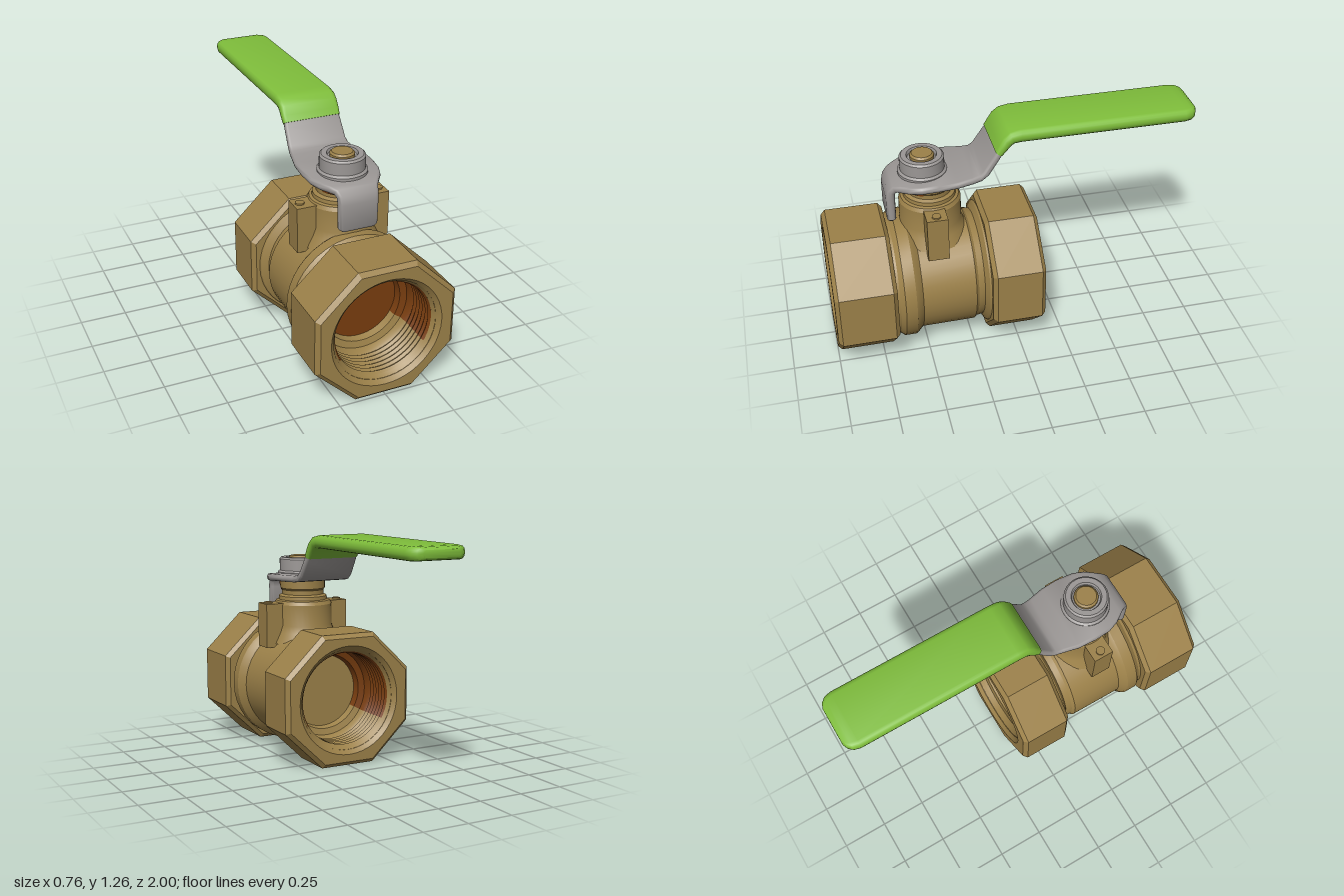
import * as THREE from 'three';
import { toCreasedNormals } from 'three/addons/utils/BufferGeometryUtils.js';

const material = (name, color, side = THREE.FrontSide) => {
  const m = new THREE.MeshStandardMaterial({ color, side });
  m.name = name;
  return m;
};

export function createModel() {
  const brass = material('brass', 0x9c8149, THREE.DoubleSide);
  const brown = material('dark brown', 0x783d0f, THREE.DoubleSide);
  const steel = material('steel grey', 0x9b9795);
  const green = material('green', 0x7fbe3b);
  const model = new THREE.Group();
  model.name = 'ballValve';
  const axisY = 0.373;

  const add = (name, geometry, mat, x = 0, y = 0, z = 0) => {
    const mesh = new THREE.Mesh(geometry, mat);
    mesh.name = name;
    mesh.position.set(x, y, z);
    model.add(mesh);
    return mesh;
  };
  // Turned part from [radius, height] pairs
  const turned = (pairs, start = 0, length = Math.PI * 2) =>
    toCreasedNormals(new THREE.LatheGeometry(
      pairs.map(([r, h]) => new THREE.Vector2(r, h)), 40, start, length), 0.5);
  // The same, lying along z; angle 0 points down
  const turnedZ = (...args) => turned(...args).rotateX(Math.PI / 2);

  // Flat bar swept through [z, y, halfWidth, thickness] stations
  const sweptBar = (stations) => {
    const positions = [], index = [], perCorner = 4, n = perCorner * 4;
    stations.forEach(([z, y, hw, th], i) => {
      const a = stations[Math.max(i - 1, 0)];
      const b = stations[Math.min(i + 1, stations.length - 1)];
      const len = Math.hypot(b[0] - a[0], b[1] - a[1]);
      const tz = (b[0] - a[0]) / len, ty = (b[1] - a[1]) / len;
      const r = th * 0.42;
      for (let c = 0; c < 4; c++) {
        const sx = c === 0 || c === 3 ? 1 : -1, sn = c < 2 ? 1 : -1;
        for (let k = 0; k < perCorner; k++) {
          const ang = (c + k / (perCorner - 1)) * Math.PI / 2;
          const px = sx * (hw - r) + r * Math.cos(ang);
          const pn = sn * (th / 2 - r) + r * Math.sin(ang);
          positions.push(px, y - tz * pn, z + ty * pn);
        }
      }
    });
    const last = (stations.length - 1) * n;
    for (let i = 0; i < last; i += n) {
      for (let j = 0; j < n; j++) {
        const k = (j + 1) % n;
        index.push(i + j, i + n + j, i + n + k, i + j, i + n + k, i + k);
      }
    }
    for (let j = 1; j < n - 1; j++) index.push(0, j, j + 1, last, last + j + 1, last + j);
    const g = new THREE.BufferGeometry();
    g.setAttribute('position', new THREE.Float32BufferAttribute(positions, 3));
    g.setIndex(index);
    return toCreasedNormals(g, 0.8);
  };

  // Octagonal pipe ends with a round opening
  const octagonEnd = (z0, z1) => {
    const bevel = 0.022, shape = new THREE.Shape();
    for (let i = 0; i < 8; i++) {
      const a = (i + 0.5) * Math.PI / 4;
      const x = 0.411 * Math.cos(a), y = 0.396 * Math.sin(a);
      if (i) shape.lineTo(x, y); else shape.moveTo(x, y);
    }
    shape.closePath();
    shape.holes.push(new THREE.Path().absarc(0, 0, 0.28, 0, Math.PI * 2, true));
    const g = new THREE.ExtrudeGeometry(shape, {
      depth: z1 - z0 - 2 * bevel, bevelEnabled: true, bevelSegments: 1,
      bevelSize: bevel, bevelThickness: bevel, bevelOffset: -bevel, curveSegments: 24,
    });
    return toCreasedNormals(g.translate(0, 0, z0 + bevel), 0.4);
  };
  add('frontPipeEnd', octagonEnd(0.67, 1), brass, 0, axisY);
  add('backPipeEnd', octagonEnd(-0.13, 0.16), brass, 0, axisY);

  // Threaded bores: brown above, brass along the bottom
  const bore = (name, mouth, dir, discMaterial) => {
    const at = (depth) => mouth - dir * depth;
    const wall = [];
    for (let i = 0; i < 7; i++) {
      wall.push([0.266, at(0.045 + i * 0.03)], [0.256, at(0.06 + i * 0.03)]);
    }
    wall.push([0.25, at(0.27)], [0.215, at(0.28)], [0.205, at(0.32)]);
    add(name + 'Lip', turnedZ([[0.285, at(0.018)], [0.266, at(0.045)]]), brass, 0, axisY);
    add(name + 'LowerWall', turnedZ(wall, -1.05, 2.1), brass, 0, axisY);
    add(name + 'UpperWall', turnedZ(wall, 1.05, Math.PI * 2 - 2.1), brown, 0, axisY);
    const disc = new THREE.CircleGeometry(0.21, 40);
    if (dir < 0) disc.rotateY(Math.PI);
    add(name + 'Disc', disc, discMaterial, 0, axisY, at(0.318));
  };
  bore('frontBore', 1, 1, brown);
  bore('backBore', -0.13, -1, brass);

  // Round centre body with collar
  add('body', turnedZ([
    [0.29, 0.12], [0.345, 0.15], [0.335, 0.17], [0.3, 0.19], [0.305, 0.225], [0.318, 0.24],
    [0.32, 0.53], [0.345, 0.555], [0.355, 0.57], [0.355, 0.63], [0.335, 0.655], [0.33, 0.69],
  ]), brass, 0, axisY);

  // Bonnet, neck and stem
  add('bonnet', turned([
    [0.21, 0.63], [0.18, 0.69], [0.166, 0.73], [0.166, 0.85], [0.155, 0.87], [0.14, 0.875],
    [0.138, 0.895], [0.12, 0.905], [0.12, 0.93], [0.128, 0.94], [0.128, 0.99], [0, 0.99],
  ]), brass, 0, 0, 0.425);
  add('neckSeal', new THREE.CylinderGeometry(0.134, 0.12, 0.06, 24, 1, true, -1.25, 2.5),
    brown, 0, 0.955, 0.435);
  add('stem', turned([[0.064, 1], [0.064, 1.115], [0.054, 1.125], [0, 1.125]]), brass, 0, 0, 0.455);

  // Stop lugs either side of the bonnet
  for (const side of [1, -1]) {
    add(side > 0 ? 'leftLug' : 'rightLug', new THREE.BoxGeometry(0.13, 0.25, 0.112),
      brass, side * 0.192, 0.735, 0.427);
    add(side > 0 ? 'leftLugPin' : 'rightLugPin', new THREE.CylinderGeometry(0.024, 0.024, 0.012, 16),
      brass, side * 0.22, 0.862, 0.427);
  }

  // Handle nut
  add('handleNut', turned([
    [0.13, 1.015], [0.13, 1.03], [0.118, 1.04], [0.118, 1.105], [0.108, 1.115],
    [0.08, 1.115], [0.074, 1.1], [0.06, 1.1],
  ]), steel, 0, 0, 0.457);

  // Bent steel lever, from the front tab to inside the grip
  add('lever', sweptBar([
    [0.643, 0.782, 0.09, 0.035], [0.643, 0.795, 0.105, 0.048], [0.643, 0.93, 0.108, 0.048],
    [0.637, 0.965, 0.11, 0.044], [0.62, 0.985, 0.118, 0.042], [0.59, 0.993, 0.14, 0.04],
    [0.55, 0.997, 0.168, 0.04], [0.49, 1.001, 0.19, 0.04], [0.4, 1.007, 0.197, 0.038],
    [0.3, 1.01, 0.192, 0.036], [0.22, 1.013, 0.174, 0.036], [0.175, 1.02, 0.166, 0.036],
    [0.145, 1.042, 0.162, 0.036], [0.09, 1.125, 0.158, 0.036], [0.05, 1.185, 0.15, 0.034],
  ]), steel);

  // Green grip sleeve
  add('grip', sweptBar([
    [0.077, 1.147, 0.16, 0.042], [0.055, 1.178, 0.162, 0.05], [0.03, 1.211, 0.162, 0.06],
    [0.005, 1.229, 0.162, 0.066], [-0.04, 1.236, 0.162, 0.07], [-0.93, 1.236, 0.162, 0.07],
    [-0.965, 1.236, 0.153, 0.068], [-0.988, 1.236, 0.132, 0.06], [-1, 1.236, 0.105, 0.04],
  ]), green);

  return model;
}
